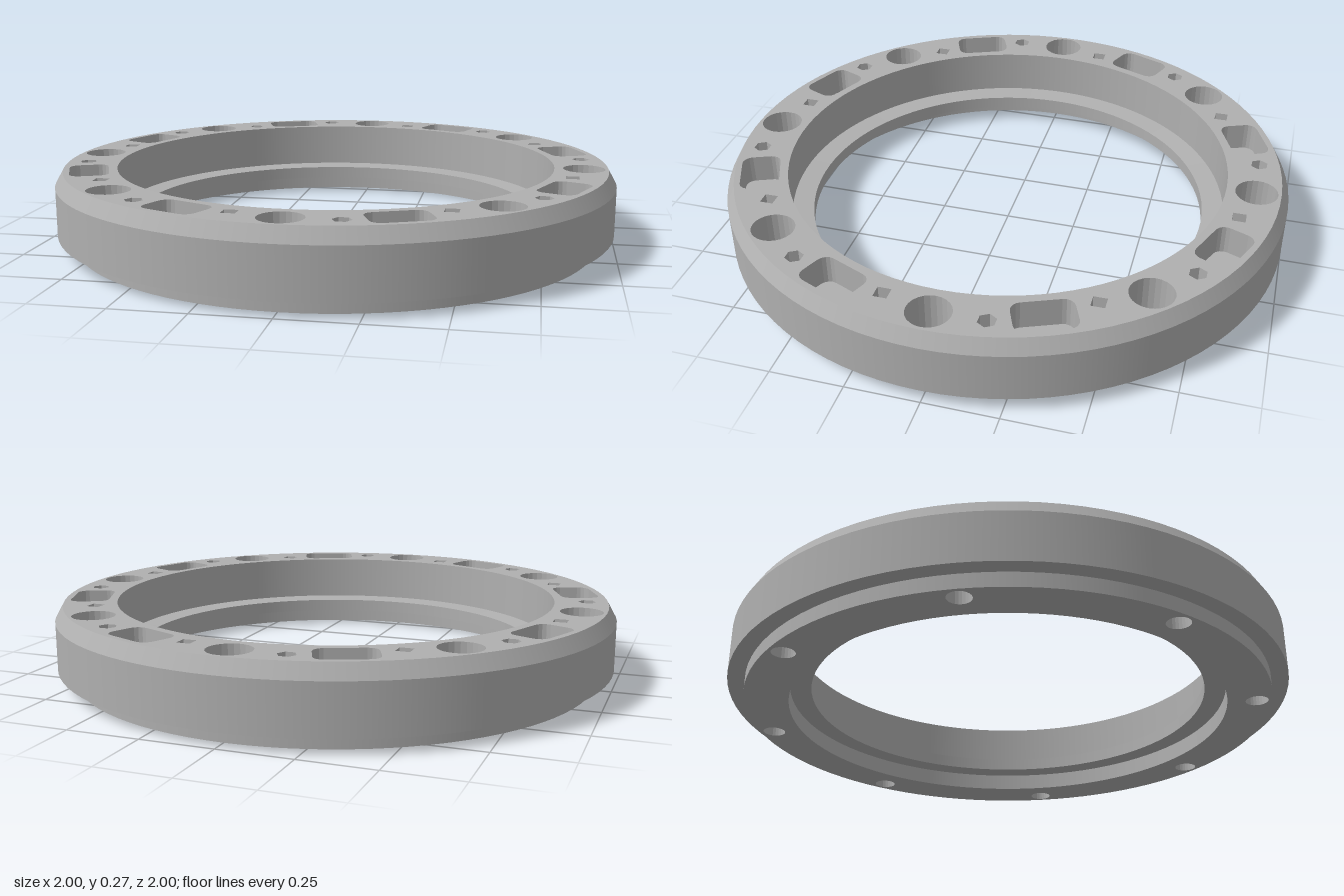
import * as THREE from 'three';
import { mergeGeometries } from 'three/addons/utils/BufferGeometryUtils.js';

const SEG = 96, TOP = 0.27, COUNT = 8;
const OUTER_TOP = 0.972, OUTER_BASE = 0.94, INNER = 0.785, LIP = 0.71;

// Regular polygon as a counter-clockwise loop
function polygon(r, sides, cx = 0, cy = 0, turn = 0) {
  return Array.from({ length: sides }, (_, i) => {
    const a = turn + (i / sides) * Math.PI * 2;
    return new THREE.Vector2(cx + r * Math.cos(a), cy + r * Math.sin(a));
  });
}

// Rounded rectangle loop, w radial and h tangential, placed at a polar position
function roundedSlot(w, h, r, radius, angle) {
  const pts = [];
  [[1, 1], [-1, 1], [-1, -1], [1, -1]].forEach(([sx, sy], k) => {
    for (let i = 0; i <= 4; i++) {
      const a = (k + i / 4) * Math.PI / 2;
      const p = new THREE.Vector2(sx * (w / 2 - r) + r * Math.cos(a) + radius, sy * (h / 2 - r) + r * Math.sin(a));
      pts.push(p.rotateAround(new THREE.Vector2(), angle));
    }
  });
  return pts;
}

// Inward-facing wall between an upper and a lower loop
function wall(upper, lower, zTop, zBottom) {
  const pos = [];
  upper.forEach((p, i) => {
    const j = (i + 1) % upper.length;
    const q = upper[j], pb = lower[i], qb = lower[j];
    pos.push(p.x, p.y, zTop, q.x, q.y, zTop, pb.x, pb.y, zBottom);
    pos.push(q.x, q.y, zTop, qb.x, qb.y, zBottom, pb.x, pb.y, zBottom);
  });
  const g = new THREE.BufferGeometry();
  g.setAttribute('position', new THREE.Float32BufferAttribute(pos, 3));
  g.computeVertexNormals();
  return g;
}

// Flat sheet with holes, facing up
function sheet(outline, holes, z) {
  const shape = new THREE.Shape(outline);
  holes.forEach(h => shape.holes.push(new THREE.Path(h)));
  const g = new THREE.ShapeGeometry(shape).toNonIndexed();
  g.deleteAttribute('uv');
  return g.translate(0, 0, z);
}

// Blind recess: wall plus floor
function recess(loop, depth) {
  return [wall(loop, loop, TOP, TOP - depth), sheet(loop, [], TOP - depth)];
}

// Crisp-edged turned surface: one smooth band per profile step
function turned(profile) {
  const bands = [];
  for (let i = 0; i < profile.length - 1; i++) {
    const pts = [profile[i], profile[i + 1]].map(p => new THREE.Vector2(...p));
    bands.push(new THREE.LatheGeometry(pts, SEG));
  }
  return mergeGeometries(bands);
}

export function createModel() {
  const group = new THREE.Group();
  group.name = 'flangeRing';
  const metal = new THREE.MeshStandardMaterial({ color: 0xb0b0b0 });
  metal.name = 'grey metal';

  const add = (name, geometry) => {
    const mesh = new THREE.Mesh(geometry, metal);
    mesh.name = name;
    group.add(mesh);
  };
  const addFlat = (name, parts) => add(name, mergeGeometries(parts).rotateX(-Math.PI / 2));

  // Outer rim with base step and top chamfer
  add('outerRim', turned([[OUTER_BASE, 0], [OUTER_BASE, 0.05], [1, 0.05], [1, 0.22], [OUTER_TOP, TOP]]));
  // Inner bore with a lip between the upper and lower recesses
  add('innerBore', turned([[INNER, TOP], [INNER, 0.11], [LIP, 0.105], [LIP, 0.06], [INNER, 0.06], [INNER, 0]]));

  const topHoles = [], baseHoles = [];
  const bolts = [], pockets = [], hexes = [], squares = [];
  for (let i = 0; i < COUNT; i++) {
    const a = (i / COUNT) * Math.PI * 2;
    const at = (r, degrees) => {
      const t = a + THREE.MathUtils.degToRad(degrees);
      return [r * Math.cos(t), r * Math.sin(t)];
    };

    // Counterbored bolt hole
    const bore = polygon(0.073, 24, ...at(0.888, 0));
    const drill = polygon(0.04, 24, ...at(0.888, 0));
    bolts.push(wall(bore, bore, TOP, 0.13), wall(bore, drill, 0.13, 0.1), wall(drill, drill, 0.1, 0));

    // Rounded pocket, hexagonal and square sockets
    const pocket = roundedSlot(0.135, 0.2, 0.035, 0.882, a + Math.PI / COUNT);
    const hex = polygon(0.031, 6, ...at(0.9, 11.5));
    const square = polygon(0.032, 4, ...at(0.86, -11), Math.PI / 4);
    pockets.push(...recess(pocket, 0.1));
    hexes.push(...recess(hex, 0.1));
    squares.push(...recess(square, 0.1));

    topHoles.push(bore, pocket, hex, square);
    baseHoles.push(drill);
  }

  // Perforated top face and base face
  addFlat('topFace', [sheet(polygon(OUTER_TOP, SEG), [polygon(INNER, SEG), ...topHoles], TOP)]);
  const base = sheet(polygon(OUTER_BASE, SEG), [polygon(INNER, SEG), ...baseHoles], 0);
  // Turn the base face over by mirroring across the axis the hole pattern shares
  add('baseFace', base.rotateX(Math.PI / 2));

  addFlat('boltHoles', bolts);
  addFlat('roundedPockets', pockets);
  addFlat('hexSockets', hexes);
  addFlat('squareSockets', squares);
  return group;
}
